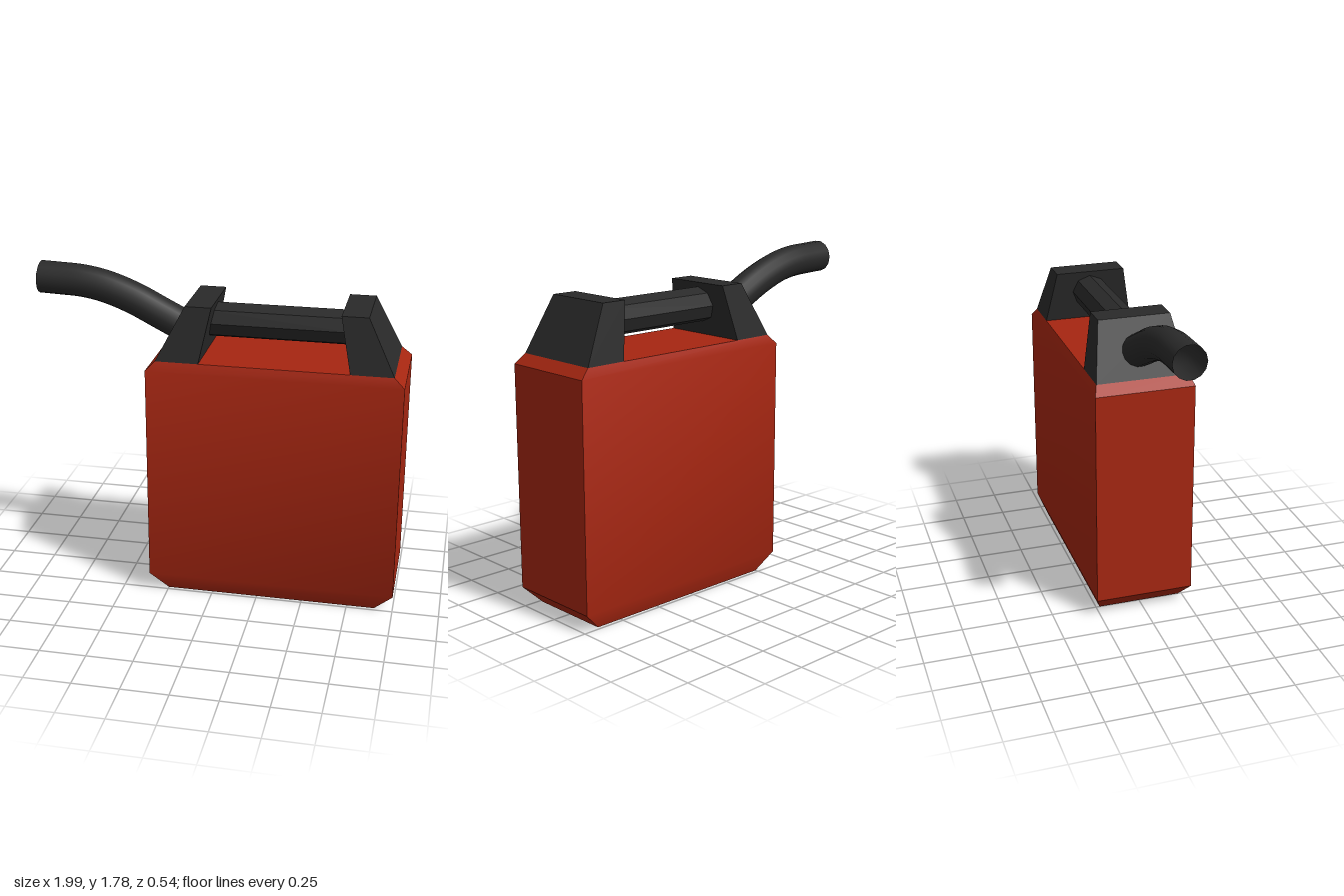
import * as THREE from 'three';
import { toCreasedNormals } from 'three/addons/utils/BufferGeometryUtils.js';

const CREASE = 0.55;

// Closed solid through rectangular sections, each [y, xMin, xMax, halfDepth], bottom to top
function sectionSolid(sections) {
  const pos = [];
  const index = [];
  for (const [y, x0, x1, d] of sections) {
    pos.push(x0, y, d, x1, y, d, x1, y, -d, x0, y, -d);
  }
  for (let s = 0; s < sections.length - 1; s++) {
    for (let i = 0; i < 4; i++) {
      const a = s * 4 + i;
      const b = s * 4 + (i + 1) % 4;
      index.push(a, b, b + 4, a, b + 4, a + 4);
    }
  }
  const t = (sections.length - 1) * 4;
  index.push(0, 2, 1, 0, 3, 2, t, t + 1, t + 2, t, t + 2, t + 3);
  const geo = new THREE.BufferGeometry();
  geo.setAttribute('position', new THREE.Float32BufferAttribute(pos, 3));
  geo.setIndex(index);
  return toCreasedNormals(geo, CREASE);
}

export function createModel() {
  const red = new THREE.MeshStandardMaterial({ color: 0xa62611 });
  red.name = 'red';
  const black = new THREE.MeshStandardMaterial({ color: 0x2a2a2a, side: THREE.DoubleSide });
  black.name = 'black';

  const group = new THREE.Group();
  group.name = 'fuelCan';
  const add = (name, geometry, material) => {
    const mesh = new THREE.Mesh(geometry, material);
    mesh.name = name;
    group.add(mesh);
    return mesh;
  };

  // Tank with chamfered top and bottom
  add('tank', sectionSolid([
    [0, -0.25, 0.9, 0.23],
    [0.1, -0.35, 1, 0.27],
    [1.3, -0.35, 1, 0.27],
    [1.35, -0.3, 0.945, 0.25],
  ]), red);

  // Tapered brackets that carry the handle
  add('spoutBracket', sectionSolid([
    [1.35, -0.3, -0.07, 0.25],
    [1.64, -0.15, -0.01, 0.195],
  ]), black);
  add('rearBracket', sectionSolid([
    [1.35, 0.72, 0.945, 0.25],
    [1.64, 0.66, 0.8, 0.195],
  ]), black);

  // Eight-sided grip between the brackets
  const grip = new THREE.CylinderGeometry(0.095, 0.095, 0.81, 8);
  grip.rotateZ(Math.PI / 2);
  add('handle', toCreasedNormals(grip, CREASE), black).position.set(0.325, 1.52, -0.003);

  // Curved, open spout
  const path = new THREE.CatmullRomCurve3([
    [-0.987, 1.697], [-0.88, 1.693], [-0.75, 1.686], [-0.62, 1.66],
    [-0.47, 1.605], [-0.32, 1.53], [-0.19, 1.465],
  ].map(([x, y]) => new THREE.Vector3(x, y, -0.003)));
  add('spout', new THREE.TubeGeometry(path, 20, 0.087, 14, false), black);

  return group;
}
